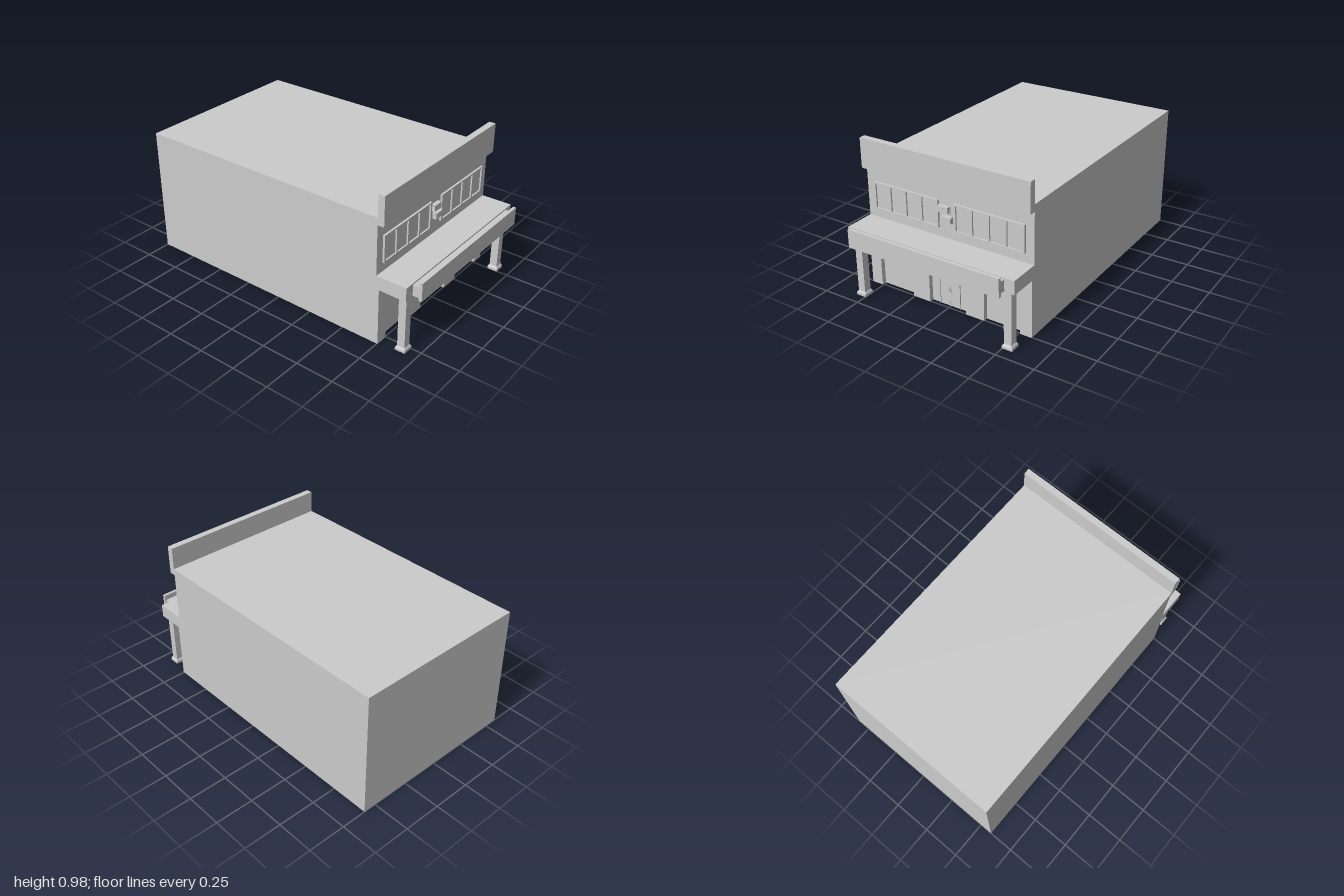
import * as THREE from 'three';

const W = 0.585, UPPER = 0.735, LOWER = 0.755, BAY = 0.725, STEP = 0.42, ROOF = 0.83, BACK = -1;
const mat = new THREE.MeshStandardMaterial({ color: 0xcccccc, side: THREE.DoubleSide });

function add(parent, name, geo, x = 0, y = 0, z = 0) {
  const m = new THREE.Mesh(geo, mat);
  m.name = name;
  m.position.set(x, y, z);
  parent.add(m);
  return m;
}

// Box given by its extents on each axis
function box(parent, name, x0, x1, y0, y1, z0, z1) {
  return add(parent, name, new THREE.BoxGeometry(x1 - x0, y1 - y0, z1 - z0),
    (x0 + x1) / 2, (y0 + y1) / 2, (z0 + z1) / 2);
}

function rect(x0, x1, y0, y1, Type = THREE.Shape) {
  return new Type([[x0, y0], [x1, y0], [x1, y1], [x0, y1]].map(p => new THREE.Vector2(...p)));
}

// Rectangular outline with rectangular holes
function panel(outer, holes) {
  const s = rect(...outer);
  holes.forEach(h => s.holes.push(rect(...h, THREE.Path)));
  return s;
}

const extrude = (s, depth) => new THREE.ExtrudeGeometry(s, { depth, bevelEnabled: false });

// Storefront bays and window groups, as x0, x1, y0, y1
const bays = [[-0.507, -0.26, 0, 0.253], [-0.135, 0.13, 0, 0.253], [0.26, 0.507, 0, 0.253]];
const windowGroups = [[-0.53, -0.055, 0.52, 0.697], [0.055, 0.53, 0.52, 0.697]];
const doorHole = [-0.075, 0.073, 0, 0.22];

function panesOf([x0, x1, y0, y1]) {
  const pitch = (x1 - x0 - 0.015) / 4;
  return [0, 1, 2, 3].map(i => {
    const c = x0 + 0.0075 + pitch * (i + 0.5);
    return [c - 0.051, c + 0.051, y0 + 0.009, y1 - 0.009];
  });
}

function buildShell(g) {
  // Side walls step back where the upper storey begins
  const side = new THREE.Shape([[BACK, 0], [LOWER, 0], [LOWER, STEP], [UPPER, STEP], [UPPER, ROOF], [BACK, ROOF]]
    .map(([z, y]) => new THREE.Vector2(-z, y)));
  for (const s of [1, -1]) {
    add(g, s > 0 ? 'leftWall' : 'rightWall', new THREE.ShapeGeometry(side), s * W).rotation.y = Math.PI / 2;
  }
  add(g, 'backWall', new THREE.PlaneGeometry(2 * W, ROOF), 0, ROOF / 2, BACK).rotation.y = Math.PI;
  add(g, 'roof', new THREE.PlaneGeometry(2 * W, UPPER - BACK), 0, ROOF, (UPPER + BACK) / 2).rotation.x = -Math.PI / 2;
  add(g, 'storeyStep', new THREE.PlaneGeometry(2 * W, LOWER - UPPER), 0, STEP, (UPPER + LOWER) / 2)
    .rotation.x = Math.PI / 2;

  const panes = windowGroups.flatMap(panesOf);
  add(g, 'upperFrontWall', new THREE.ShapeGeometry(panel([-W, W, STEP, ROOF], panes)), 0, 0, UPPER);

  // Lower wall outline runs around the bays, which are open to the ground
  const pts = [[-W, 0]];
  bays.forEach(([a, b, , t]) => pts.push([a, 0], [a, t], [b, t], [b, 0]));
  pts.push([W, 0], [W, STEP], [-W, STEP]);
  const lower = new THREE.Shape(pts.map(p => new THREE.Vector2(...p)));
  add(g, 'lowerFrontWall', new THREE.ShapeGeometry(lower), 0, 0, LOWER);

  // Recessed bays: two jambs, a head and a back panel
  bays.forEach(([a, b, , t], i) => {
    const bay = new THREE.Group();
    bay.name = 'storefrontBay';
    const d = LOWER - BAY, zc = (LOWER + BAY) / 2;
    for (const [x, s] of [[a, 1], [b, -1]]) {
      add(bay, 'jamb', new THREE.PlaneGeometry(d, t), x, t / 2, zc).rotation.y = s * Math.PI / 2;
    }
    add(bay, 'head', new THREE.PlaneGeometry(b - a, d), (a + b) / 2, t, zc).rotation.x = Math.PI / 2;
    add(bay, 'bayPanel', new THREE.ShapeGeometry(panel([a, b, 0, t], i === 1 ? [doorHole] : [])), 0, 0, BAY);
    g.add(bay);
  });
}

function buildWindows(g) {
  for (const w of windowGroups) {
    const group = new THREE.Group();
    group.name = 'windowGroup';
    const panes = panesOf(w);
    add(group, 'windowFrame', extrude(panel(w, panes), 0.013), 0, 0, UPPER);
    // Panes sit slightly inside their openings
    panes.forEach(([a, b, c, d]) => box(group, 'windowPane', a, b, c, d, UPPER - 0.002, UPPER + 0.003));
    g.add(group);
  }
}

function buildDoor(g) {
  const door = new THREE.Group();
  door.name = 'doubleDoor';
  const [a, b, , t] = doorHole;
  const frame = new THREE.Shape([[a, 0], [a, t], [b, t], [b, 0], [b - 0.004, 0], [b - 0.004, t - 0.006],
    [a + 0.004, t - 0.006], [a + 0.004, 0]].map(p => new THREE.Vector2(...p)));
  add(door, 'doorFrame', extrude(frame, 0.016), 0, 0, BAY - 0.008);
  for (const s of [-1, 1]) {
    const mid = -0.001, edge = s < 0 ? a + 0.004 : b - 0.004;
    const inner = mid + s * 0.0005;
    box(door, 'doorLeaf', Math.min(inner, edge), Math.max(inner, edge), 0.001, t - 0.006, BAY - 0.004, BAY + 0.003);
    box(door, 'doorHandle', mid + s * 0.008 - 0.0015, mid + s * 0.008 + 0.0015, 0.095, 0.12, BAY + 0.003, BAY + 0.009);
    for (const y of [0.03, 0.11, 0.19]) {
      box(door, 'hinge', edge - 0.002, edge + 0.002, y - 0.006, y + 0.006, BAY, BAY + 0.01);
    }
  }
  g.add(door);
}

function buildPorch(g) {
  box(g, 'porchRoof', -W, W, 0.373, 0.461, UPPER, 0.935);
  box(g, 'signMount', -0.52, 0.52, 0.38, 0.452, 0.935, 0.982);
  box(g, 'signBoard', -0.528, 0.528, 0.368, 0.487, 0.98, 1);
  for (const s of [-1, 1]) {
    const post = new THREE.Group();
    post.name = 'porchPost';
    post.position.set(s * 0.53, 0, 0.895);
    box(post, 'shaft', -0.025, 0.025, 0.02, 0.374, -0.025, 0.025);
    box(post, 'plinth', -0.034, 0.034, 0, 0.016, -0.034, 0.034);
    // Four-sided taper between plinth and shaft
    const taper = new THREE.CylinderGeometry(0.026 * Math.SQRT2, 0.034 * Math.SQRT2, 0.014, 4)
      .rotateY(Math.PI / 4).toNonIndexed();
    taper.computeVertexNormals();
    add(post, 'plinthTaper', taper, 0, 0.023, 0);
    g.add(post);
  }
}

function cable(g, points, r) {
  const curve = new THREE.CatmullRomCurve3(points.map(p => new THREE.Vector3(...p)));
  add(g, 'cable', new THREE.TubeGeometry(curve, 20, r, 6), 0, 0, 0);
}

// Wall boxes with a thin cover, joined by cables
function wallBox(g, x0, x1, y0, y1, wall, depth) {
  const unit = new THREE.Group();
  unit.name = 'utilityBox';
  box(unit, 'boxBody', x0, x1, y0, y1, wall, wall + depth * 0.8);
  box(unit, 'boxCover', x0 + 0.001, x1 - 0.001, y0 + 0.001, y1 - 0.001, wall + depth * 0.8, wall + depth);
  box(unit, 'latch', (x0 + x1) / 2 - 0.0015, (x0 + x1) / 2 + 0.0015, y0 + 0.02, y0 + 0.023,
    wall + depth, wall + depth + 0.002);
  g.add(unit);
}

function buildUtilities(g) {
  wallBox(g, -0.46, -0.355, 0.295, 0.352, LOWER, 0.036);
  wallBox(g, -0.284, -0.18, 0.266, 0.326, LOWER, 0.03);
  for (const k of [0, 1, 2]) {
    const y = 0.342 - k * 0.009, z = LOWER + 0.014;
    cable(g, [[-0.358, y, z], [-0.335, y - 0.004, z], [-0.315, 0.31 - k * 0.007, z],
      [-0.295, 0.295 - k * 0.006, z], [-0.28, 0.294 - k * 0.006, z]], 0.0018);
  }
  wallBox(g, -0.048, 0.025, 0.631, 0.671, UPPER, 0.027);
  wallBox(g, -0.026, 0.043, 0.57, 0.609, UPPER, 0.027);
  for (const k of [0, 1]) {
    const z = UPPER + 0.012;
    cable(g, [[0.022, 0.662 - k * 0.012, z], [0.03, 0.655 - k * 0.01, z], [0.029 + k * 0.003, 0.635, z],
      [0.039, 0.62, z], [0.041 - k * 0.005, 0.604, z]], 0.0015);
  }
}

export function createModel() {
  const g = new THREE.Group();
  g.name = 'storefrontBuilding';
  buildShell(g);
  box(g, 'parapet', -W, W, 0.785, 0.976, UPPER, 0.778);
  buildWindows(g);
  buildDoor(g);
  buildPorch(g);
  buildUtilities(g);
  return g;
}
